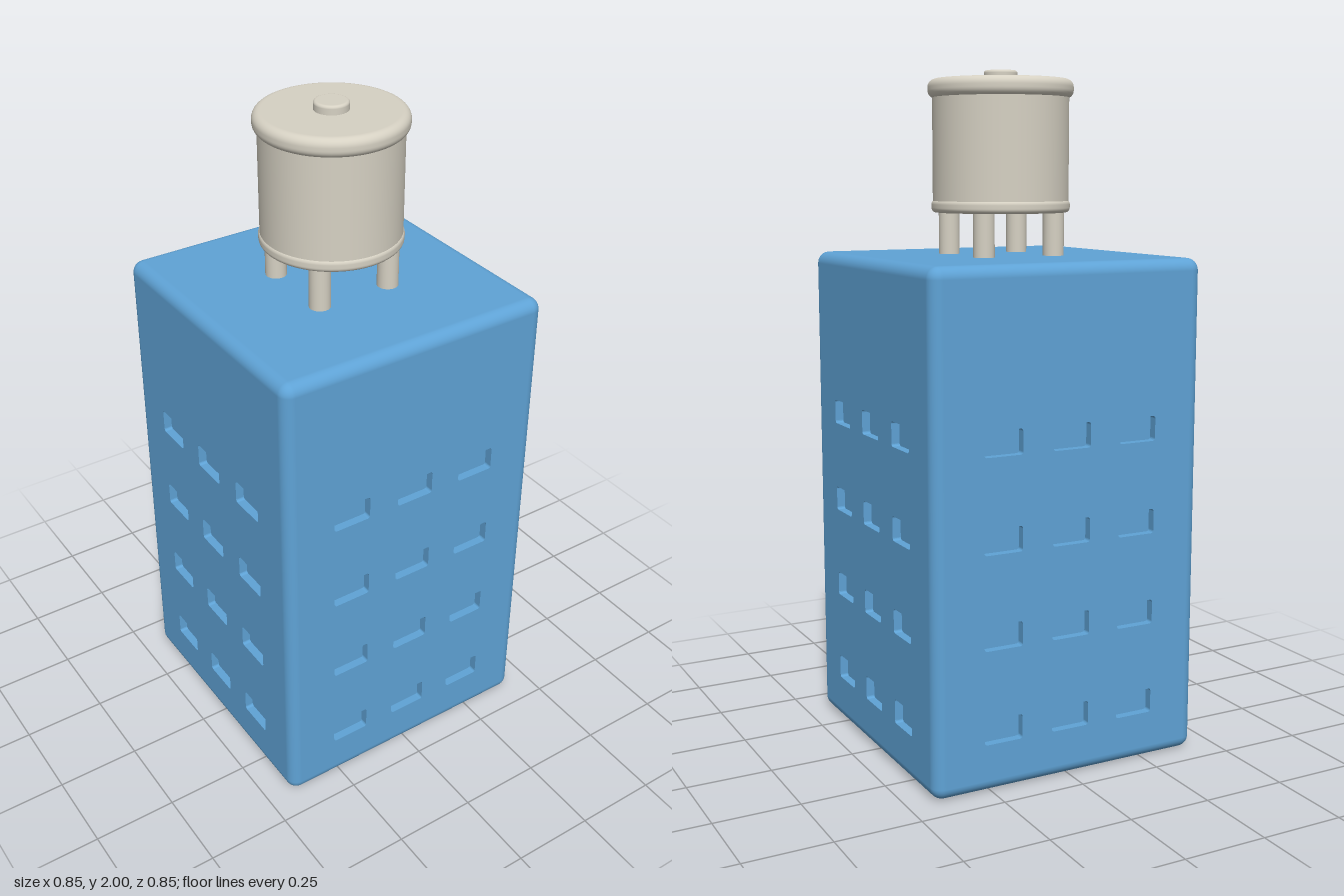
import * as THREE from 'three';
import { RoundedBoxGeometry } from 'three/addons/geometries/RoundedBoxGeometry.js';

const WIDTH = 0.852, HEIGHT = 1.468, EDGE = 0.035, RECESS = 0.025;

function makeMesh(name, geometry, material, x = 0, y = 0, z = 0) {
  const mesh = new THREE.Mesh(geometry, material);
  mesh.name = name;
  mesh.position.set(x, y, z);
  return mesh;
}

function roundedRect(path, cx, cy, w, h, r) {
  const x0 = cx - w / 2, x1 = cx + w / 2, y0 = cy - h / 2, y1 = cy + h / 2;
  path.moveTo(x0 + r, y0);
  path.lineTo(x1 - r, y0);
  path.absarc(x1 - r, y0 + r, r, -Math.PI / 2, 0);
  path.absarc(x1 - r, y1 - r, r, 0, Math.PI / 2);
  path.absarc(x0 + r, y1 - r, r, Math.PI / 2, Math.PI);
  path.absarc(x0 + r, y0 + r, r, Math.PI, Math.PI * 1.5);
  return path;
}

// Disc or drum with rounded rims, turned from bottom to top
function roundedDrum(radius, y0, y1, bevel) {
  const inner = radius - bevel, steps = 8;
  const points = [new THREE.Vector2(0, y0), new THREE.Vector2(inner - 0.002, y0)];
  for (const [cy, start] of [[y0 + bevel, -Math.PI / 2], [y1 - bevel, 0]]) {
    for (let i = 0; i <= steps; i++) {
      const a = start + (i / steps) * Math.PI / 2;
      points.push(new THREE.Vector2(inner + Math.cos(a) * bevel, cy + Math.sin(a) * bevel));
    }
  }
  points.push(new THREE.Vector2(inner - 0.002, y1), new THREE.Vector2(0, y1));
  return new THREE.LatheGeometry(points, 64);
}

// Rounded block without its four flat sides, which the facades fill
function shellGeometry() {
  const geometry = new RoundedBoxGeometry(WIDTH, HEIGHT, WIDTH, 4, EDGE);
  const p = geometry.attributes.position, half = WIDTH / 2 - 1e-5, keep = [];
  for (let i = 0; i < p.count; i += 3) {
    const corners = [i, i + 1, i + 2];
    const flat = corners.every((k) => Math.abs(p.getX(k)) > half)
      || corners.every((k) => Math.abs(p.getZ(k)) > half);
    if (!flat) keep.push(...corners);
  }
  geometry.clearGroups();
  geometry.setIndex(keep);
  return geometry;
}

// Wall panel with a grid of window openings
function facadeGeometry() {
  const wall = new THREE.Shape();
  const w = WIDTH / 2 - EDGE;
  wall.moveTo(-w, EDGE);
  wall.lineTo(w, EDGE);
  wall.lineTo(w, HEIGHT - EDGE);
  wall.lineTo(-w, HEIGHT - EDGE);
  wall.closePath();
  for (let row = 0; row < 4; row++) {
    for (let col = -1; col <= 1; col++) {
      wall.holes.push(roundedRect(new THREE.Path(), col * 0.214, 0.176 + row * 0.271, 0.119, 0.072, 0.008));
    }
  }
  return new THREE.ExtrudeGeometry(wall, { depth: RECESS, bevelEnabled: false, curveSegments: 3 });
}

export function createModel() {
  const blue = new THREE.MeshStandardMaterial({ color: 0x5fa3d6 });
  blue.name = 'wall blue';
  const cream = new THREE.MeshStandardMaterial({ color: 0xd6d1c3 });
  cream.name = 'tank cream';

  const model = new THREE.Group();
  model.name = 'towerBlock';

  // Building
  const building = new THREE.Group();
  building.name = 'building';
  building.add(makeMesh('buildingShell', shellGeometry(), blue, 0, HEIGHT / 2, 0));
  const facade = facadeGeometry();
  const backing = new THREE.PlaneGeometry(0.6, 0.96);
  for (let i = 0; i < 4; i++) {
    const side = new THREE.Group();
    side.name = 'facade';
    side.rotation.y = i * Math.PI / 2;
    side.add(makeMesh('windowWall', facade, blue, 0, 0, WIDTH / 2 - RECESS));
    side.add(makeMesh('windowPanes', backing, blue, 0, 0.5825, WIDTH / 2 - RECESS));
    building.add(side);
  }
  model.add(building);

  // Rooftop water tank
  const tank = new THREE.Group();
  tank.name = 'waterTank';
  const leg = new THREE.CylinderGeometry(0.031, 0.031, 0.16, 24);
  for (const x of [-0.114, 0.114]) {
    for (const z of [-0.114, 0.114]) tank.add(makeMesh('tankLeg', leg, cream, x, 1.53, z));
  }
  tank.add(makeMesh('tankBase', roundedDrum(0.204, 1.592, 1.63, 0.014), cream));
  tank.add(makeMesh('tankDrum', new THREE.CylinderGeometry(0.2, 0.2, 0.34, 64, 1, true), cream, 0, 1.78, 0));
  tank.add(makeMesh('tankLid', roundedDrum(0.213, 1.92, 1.975, 0.023), cream));
  tank.add(makeMesh('lidKnob', roundedDrum(0.049, 1.96, 2, 0.008), cream));
  model.add(tank);

  return model;
}
